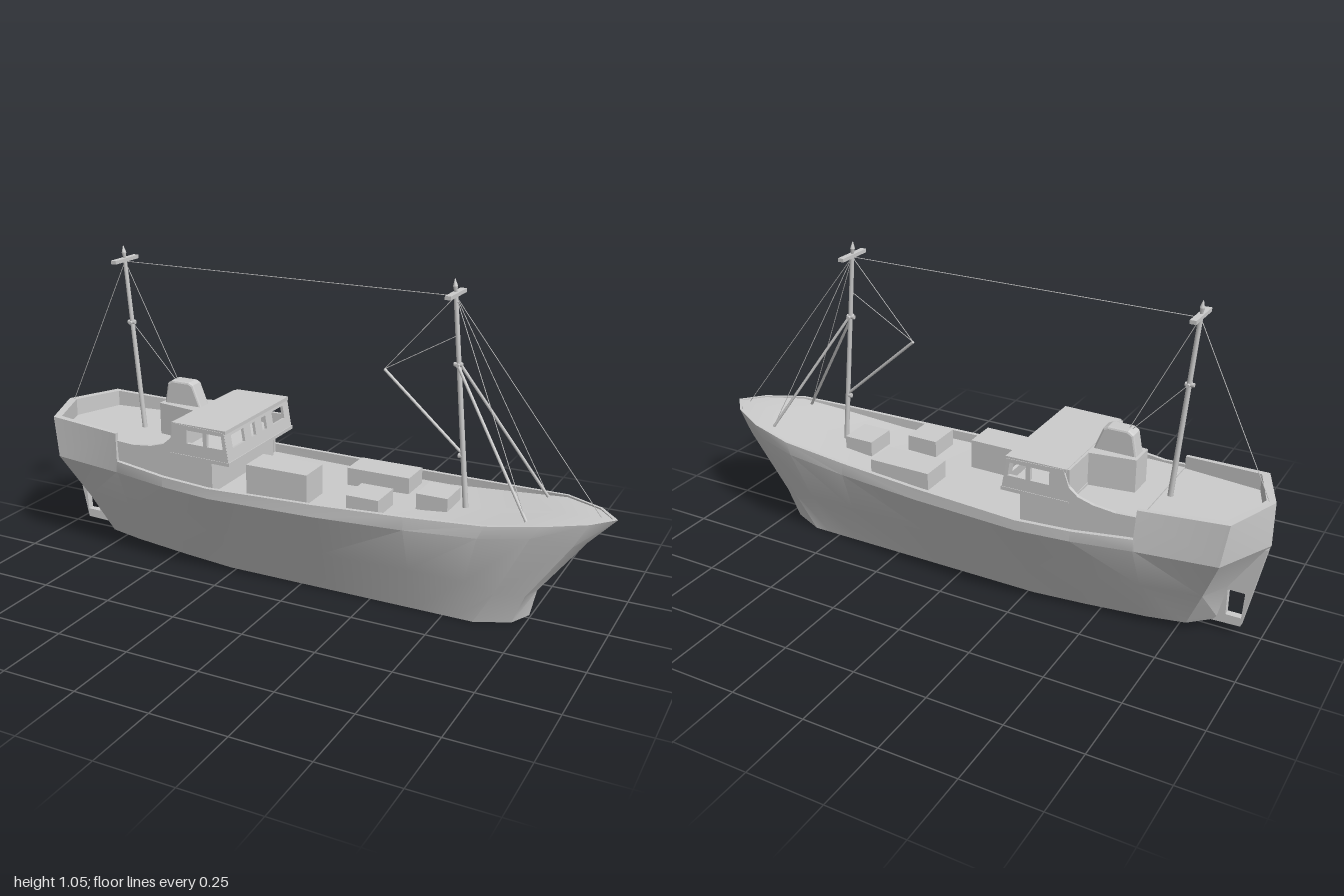
import * as THREE from 'three';
import { toCreasedNormals } from 'three/addons/utils/BufferGeometryUtils.js';

const V = (x, y, z = 0) => new THREE.Vector3(x, y, z);

export function createModel() {
  const ship = new THREE.Group();
  ship.name = 'cargoShip';
  const grey = new THREE.MeshStandardMaterial({ color: 0xcccccc, side: THREE.DoubleSide });

  function add(name, geometry, parent = ship) {
    const mesh = new THREE.Mesh(geometry, grey);
    mesh.name = name;
    parent.add(mesh);
    return mesh;
  }
  // box given by its limits on each axis
  function box(name, x0, x1, y0, y1, z0, z1) {
    const g = new THREE.BoxGeometry(x1 - x0, y1 - y0, z1 - z0);
    g.translate((x0 + x1) / 2, (y0 + y1) / 2, (z0 + z1) / 2);
    return add(name, g);
  }
  // round bar between two points
  function rod(name, a, b, r, sides = 8, rTop = r) {
    const d = b.clone().sub(a);
    const m = add(name, new THREE.CylinderGeometry(rTop, r, d.length(), sides));
    m.position.copy(a).addScaledVector(d, 0.5);
    m.quaternion.setFromUnitVectors(V(0, 1), d.normalize());
    return m;
  }
  const wire = (a, b) => rod('rigging', a, b, 0.0013, 5);
  const toShape = pts => new THREE.Shape(pts.map(p => new THREE.Vector2(...p)));
  function plate(outline, holes, depth) {
    const s = toShape(outline);
    holes.forEach(h => s.holes.push(toShape(h)));
    return new THREE.ExtrudeGeometry(s, { depth, bevelEnabled: false });
  }
  // the house narrows slightly toward the stern
  function taper(g) {
    const p = g.attributes.position;
    for (let i = 0; i < p.count; i++) p.setZ(i, p.getZ(i) * (1 + 0.12 * (p.getX(i) + 0.21)));
    g.computeVertexNormals();
    return g;
  }

  // hull: each station is bottom edge, bilge, knuckle, rail, then deck height and rail thickness
  const full = (x, keelY, keelZ, knY, knZ, topY, topZ, deckY) => [
    [x, keelY, keelZ], [x, (keelY + knY) / 2, (keelZ + knZ) / 2], [x, knY, knZ], [x, topY, topZ], deckY, 0, 0.014];
  const stations = [
    [[-0.86, 0.03, 0], [-0.89, 0.16, 0], [-1, 0.33, 0], [-1, 0.475, 0], 0.415, 0.03, 0],
    [[-0.78, 0.028, 0.07], [-0.84, 0.17, 0.12], [-0.905, 0.33, 0.195], [-0.925, 0.47, 0.188], 0.415, 0.02, 0.02],
    full(-0.65, 0.022, 0.09, 0.32, 0.215, 0.457, 0.21, 0.415),
    full(-0.645, 0.022, 0.09, 0.32, 0.216, 0.36, 0.216, 0.31),
    full(-0.45, 0.01, 0.1, 0.31, 0.238, 0.345, 0.238, 0.31),
    full(-0.27, 0, 0.105, 0.305, 0.25, 0.34, 0.25, 0.31),
    full(0.1, 0, 0.105, 0.305, 0.232, 0.345, 0.23, 0.312),
    full(0.4, 0, 0.105, 0.31, 0.21, 0.352, 0.207, 0.32),
    [[0.54, 0, 0.105], [0.58, 0.15, 0.145], [0.63, 0.32, 0.188], [0.65, 0.361, 0.183], 0.345, 0, 0.012],
    [[0.6, 0, 0.105], [0.67, 0.12, 0.12], [0.78, 0.335, 0.152], [0.81, 0.376, 0.145], 0.37, 0, 0.01],
    [[0.71, 0, 0.055], [0.75, 0.1, 0.065], [0.89, 0.3, 0.075], [0.935, 0.38, 0.075], 0.376, -0.005, 0.008],
    [[0.75, 0.01, 0], [0.77, 0.1, 0], [0.915, 0.29, 0], [1, 0.38, 0], 0.378, -0.015, 0],
  ];
  const loops = stations.map(([k, m, n, t, deckY, dx, dz]) => {
    const x = t[0] + dx, z = t[2] - dz;
    return [[k[0], k[1], 0], k, m, n, t, [x, t[1], z], [x, deckY, z], [x, deckY, 0]];
  });
  const hullPos = [];
  for (const side of [1, -1]) {
    for (let i = 0; i < loops.length - 1; i++) {
      for (let j = 0; j < 7; j++) {
        const a = loops[i][j], b = loops[i + 1][j], c = loops[i + 1][j + 1], d = loops[i][j + 1];
        const quad = side > 0 ? [a, b, c, a, c, d] : [a, c, b, a, d, c];
        quad.forEach(p => hullPos.push(p[0], p[1], p[2] * side));
      }
    }
  }
  const hull = new THREE.BufferGeometry();
  hull.setAttribute('position', new THREE.Float32BufferAttribute(hullPos, 3));
  add('hull', toCreasedNormals(hull, 0.4));

  // skeg and rudder frame with the propeller opening
  const skeg = plate([[-0.78, 0.025], [-0.935, 0.03], [-0.96, 0.15], [-0.995, 0.32], [-0.8, 0.25]],
    [[[-0.935, 0.06], [-0.885, 0.06], [-0.885, 0.15], [-0.94, 0.15]]], 0.024);
  add('skeg', skeg.translate(0, 0, -0.012));

  // deckhouse sides: lower house, bridge and the sweep down to the stern
  const sideOutline = [[-0.65, 0.32], [-0.27, 0.32], [-0.27, 0.42], [-0.205, 0.42], [-0.222, 0.525], [-0.41, 0.53],
    [-0.43, 0.475], [-0.46, 0.45], [-0.51, 0.435], [-0.58, 0.427], [-0.65, 0.43]];
  const sideWindows = [[[-0.365, 0.468], [-0.302, 0.468], [-0.302, 0.513], [-0.365, 0.513]],
    [[-0.287, 0.468], [-0.226, 0.468], [-0.232, 0.513], [-0.287, 0.513]]];
  for (const z of [0.203, -0.215]) {
    add('houseSide', taper(plate(sideOutline, sideWindows, 0.012).translate(0, 0, z)));
  }
  taper(box('lowerHouse', -0.65, -0.272, 0.3, 0.42, -0.205, 0.205).geometry);
  taper(box('bridgeFloor', -0.43, -0.203, 0.415, 0.427, -0.217, 0.217).geometry);
  taper(box('bridgeRoof', -0.42, -0.217, 0.52, 0.532, -0.213, 0.213).geometry);
  taper(box('bridgeBack', -0.428, -0.416, 0.42, 0.53, -0.208, 0.208).geometry);

  // raked bridge front with four windows
  const rect = (a, b) => [[a, 0.043], [b, 0.043], [b, 0.088], [a, 0.088]];
  const front = plate([[-0.213, 0], [0.213, 0], [0.213, 0.106], [-0.213, 0.106]],
    [rect(-0.175, -0.095), rect(-0.052, -0.022), rect(0.022, 0.052), rect(0.095, 0.175)], 0.01);
  front.translate(0, 0, -0.01).rotateY(Math.PI / 2).rotateZ(0.155).translate(-0.205, 0.422, 0);
  add('bridgeFront', front);

  // engine casing and funnel behind the bridge
  const casing = plate([[-0.577, -0.045], [-0.42, -0.068], [-0.42, 0.068], [-0.577, 0.045]], [], 0.115);
  add('casing', casing.rotateX(-Math.PI / 2).translate(0, 0.415, 0));
  const funnel = new THREE.ExtrudeGeometry(
    toShape([[-0.563, 0.525], [-0.43, 0.525], [-0.46, 0.598], [-0.472, 0.604], [-0.535, 0.604], [-0.549, 0.595]]),
    { depth: 0.04, bevelEnabled: true, bevelThickness: 0.008, bevelSize: 0.007, bevelSegments: 2 });
  add('funnel', funnel.translate(0, 0, -0.02));

  // deck hatches and cargo
  box('cargoBox', -0.17, 0.05, 0.3, 0.412, 0.05, 0.165);
  box('hatch', 0.09, 0.31, 0.3, 0.372, -0.168, -0.055);
  box('hatch', 0.19, 0.3, 0.3, 0.372, 0.05, 0.167);
  box('hatch', 0.38, 0.485, 0.3, 0.372, -0.06, 0.055);

  // raked masts with crossbars
  function mast(name, foot, top) {
    const at = y => foot.clone().lerp(top, (y - foot.y) / (top.y - foot.y));
    rod(name, foot, at(1.01), 0.009, 10, 0.007);
    rod(name + 'Tip', at(1.008), at(1.03), 0.004, 8, 0.008);
    rod(name + 'Point', at(1.03), top, 0.008, 8, 0.001);
    const p = at(1.005), q = at(0.79);
    box(name + 'Crossbar', p.x - 0.01, p.x + 0.01, 1, 1.012, -0.066, 0.066);
    rod(name + 'Bracket', V(q.x - 0.016, q.y), V(q.x + 0.012, q.y), 0.007);
    rod(name + 'Bracket', V(q.x, q.y, -0.016), V(q.x, q.y, 0.016), 0.006);
    return at;
  }
  const fore = mast('foreMast', V(0.527, 0.31), V(0.463, 1.053));
  const aft = mast('aftMast', V(-0.675, 0.41), V(-0.731, 1.053));

  // cargo boom and mast struts
  const boomEnd = V(0.24, 0.745);
  rod('boom', fore(0.505), boomEnd, 0.005);
  rod('boomHeel', fore(0.5).add(V(-0.016, 0)), fore(0.5), 0.008);
  for (const s of [1, -1]) {
    const foot = V(0.755, 0.37, 0.112 * s);
    rod('mastStrut', fore(0.79).setZ(0.01 * s), foot, 0.005);
    wire(fore(1), foot);
  }

  // rigging
  wire(fore(1), aft(1));
  wire(fore(1), V(0.95, 0.38));
  wire(fore(1), boomEnd);
  wire(fore(0.88), boomEnd);
  wire(aft(1), V(-0.98, 0.472));
  wire(aft(1), V(-0.53, 0.608));
  wire(aft(0.79), V(-0.54, 0.608));
  return ship;
}
